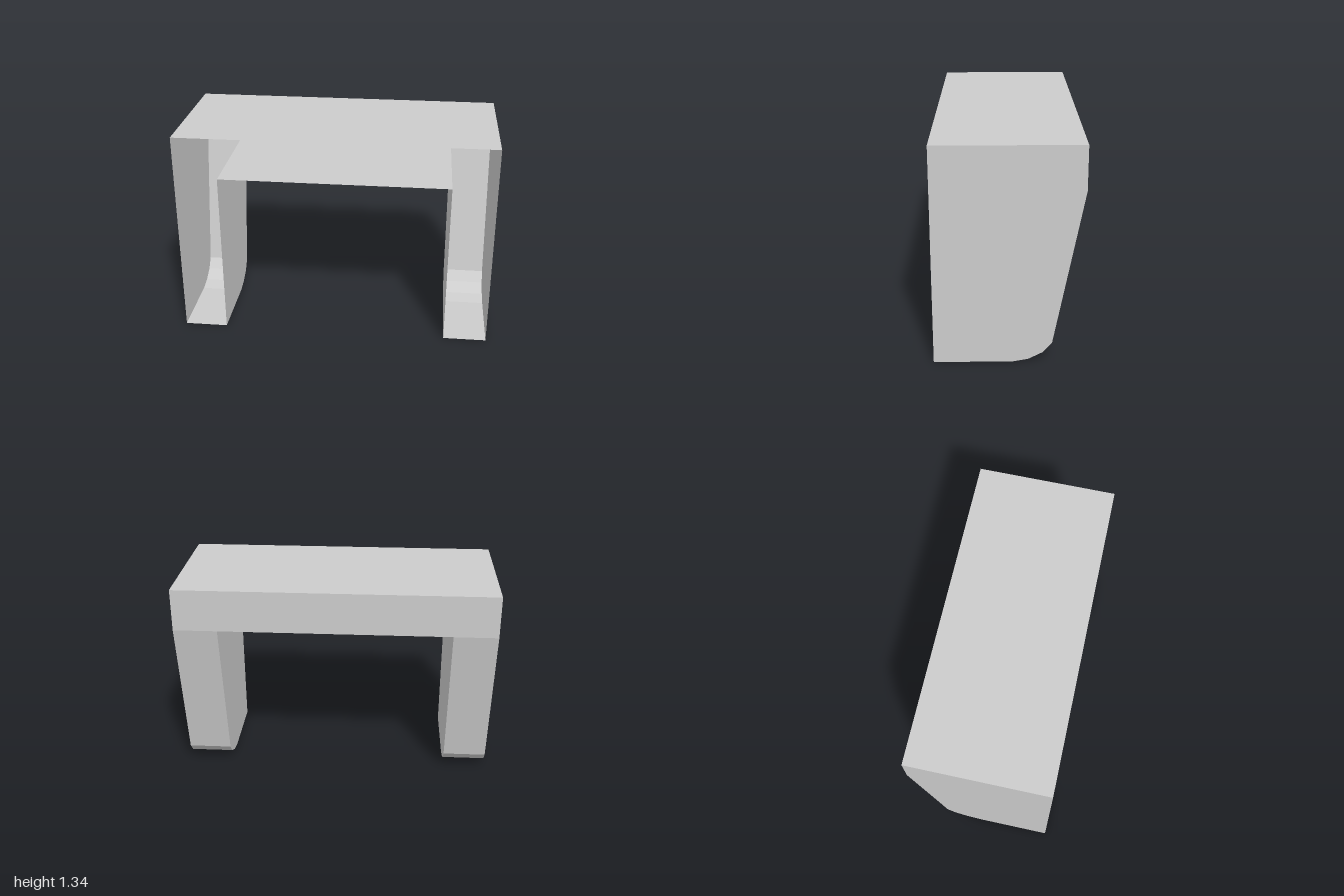
import * as THREE from 'three';

// Half width, inner leg face, and side outline as [z, y] from the top front edge round the back to the foot
const W = 1, INNER = 0.725, H = 1.335, BEAM = 1.07, D = 0.44;
const legBack = [[-D, BEAM], [-0.26, 0.125], [-0.205, 0.062], [-0.12, 0.018], [-0.025, 0], [D, 0]];
const beamBack = [[D, H], [-D, H], [-D, BEAM]];

// Flat-faced sheet following a [z, y] path from x0 to x1
function strip(path, x0, x1) {
  const pos = [];
  for (let i = 0; i + 1 < path.length; i++) {
    const [az, ay] = path[i], [bz, by] = path[i + 1];
    pos.push(x0, ay, az, x1, ay, az, x1, by, bz);
    pos.push(x0, ay, az, x1, by, bz, x0, by, bz);
  }
  const g = new THREE.BufferGeometry();
  g.setAttribute('position', new THREE.Float32BufferAttribute(pos, 3));
  g.computeVertexNormals();
  return g;
}

// Upright panel at x with a [z, y] outline, facing +x or -x
function panel(outline, x, facing) {
  const shape = new THREE.Shape(outline.map(([z, y]) => new THREE.Vector2(-facing * z, y)));
  return new THREE.ShapeGeometry(shape).rotateY(facing * Math.PI / 2).translate(x, 0, 0);
}

export function createModel() {
  const model = new THREE.Group();
  model.name = 'openFrontSurround';
  const grey = new THREE.MeshStandardMaterial({ color: 0xcccccc, side: THREE.DoubleSide });
  grey.name = 'lightGrey';

  const add = (name, geometry, parent = model) => {
    const mesh = new THREE.Mesh(geometry, grey);
    mesh.name = name;
    parent.add(mesh);
  };

  // Hollow beam: top and back, then the underside between the legs
  add('beamTopAndBack', strip(beamBack, -W, W));
  add('beamUnderside', strip([[-D, BEAM], [D, BEAM]], -INNER, INNER));

  // Hollow legs, open at the front
  for (const s of [1, -1]) {
    const leg = new THREE.Group();
    leg.name = s > 0 ? 'leftLeg' : 'rightLeg';
    model.add(leg);
    add('outerWall', panel([...beamBack, ...legBack.slice(1)], s * W, s), leg);
    add('innerWall', panel([...legBack, [D, BEAM]], s * INNER, -s), leg);
    add('backAndFoot', strip(legBack, Math.min(s * W, s * INNER), Math.max(s * W, s * INNER)), leg);
  }
  return model;
}
